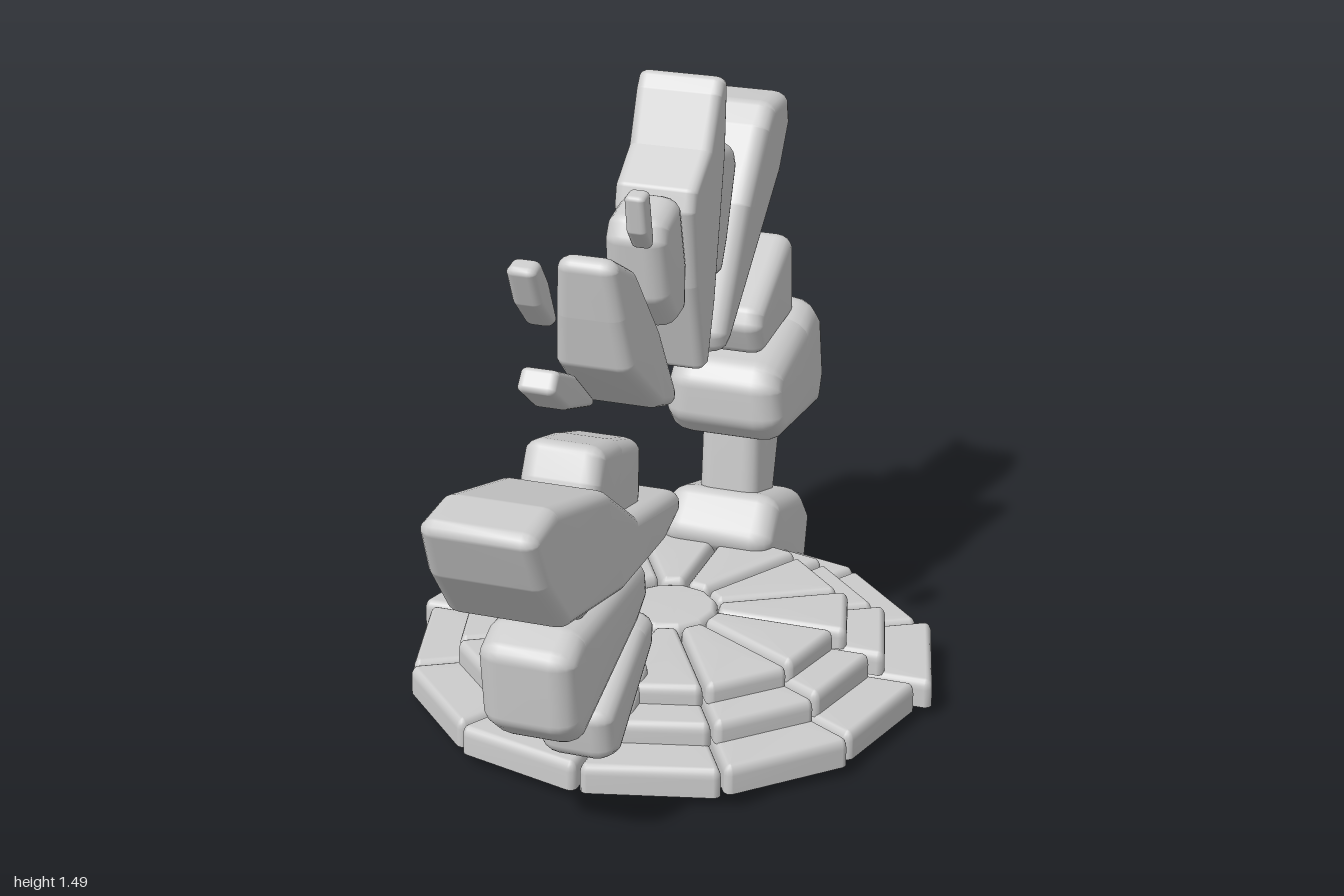
import * as THREE from 'three';

const material = new THREE.MeshStandardMaterial({ color: 0xcccccc });

// Rounded slab: a polygon in XY with softened corners, given depth along Z.
// lowW / highW are the half depths at the bottom and top of the outline.
function softSlab(outline, lowW, highW, r, bevel, flatBase = false) {
  const pts = outline.map((p) => new THREE.Vector2(p[0], p[1]));
  if (THREE.ShapeUtils.area(pts) < 0) pts.reverse();
  const n = pts.length, steps = 4;
  const ys = pts.map((p) => p.y);
  const y0 = Math.min(...ys), y1 = Math.max(...ys);
  const halfDepth = (y) => THREE.MathUtils.lerp(lowW, highW, THREE.MathUtils.clamp((y - y0) / (y1 - y0), 0, 1));

  // Corners moved inward by r, each with the outward directions of its arc
  const normals = pts.map((p, i) => {
    const d = pts[(i + 1) % n].clone().sub(p).normalize();
    return new THREE.Vector2(d.y, -d.x);
  });
  const rim = [];
  pts.forEach((p, i) => {
    const a = normals[(i + n - 1) % n], b = normals[i];
    const miter = a.clone().add(b).divideScalar(1 + a.dot(b));
    const inner = p.clone().addScaledVector(miter, -r);
    const convex = a.cross(b) > 0;
    for (let k = 0; k <= steps; k++) {
      const dir = convex ? a.clone().lerp(b, k / steps).normalize() : miter;
      rim.push({ inner, dir });
    }
  });

  // Loops from the back face to the front face
  const arc = [0, 0.25, 0.5, 0.75, 1].map((t) => t * Math.PI / 2);
  const layers = [
    ...(flatBase ? [{ s: -1, t: Math.PI / 2, flat: true }] : [...arc].reverse().map((t) => ({ s: -1, t }))),
    ...arc.map((t) => ({ s: 1, t })),
  ];
  const pos = [], index = [], m = rim.length;
  for (const { s, t, flat } of layers) {
    for (const { inner, dir } of rim) {
      const q = inner.clone().addScaledVector(dir, flat ? r : r * Math.cos(t));
      const w = halfDepth(q.y), b = Math.min(bevel, w * 0.9);
      pos.push(q.x, q.y, s * (w - b + b * Math.sin(t)));
    }
  }
  for (let j = 0; j < layers.length - 1; j++) {
    for (let i = 0; i < m; i++) {
      const k = (i + 1) % m, a = j * m + i, b = j * m + k;
      index.push(a, b, b + m, a, b + m, a + m);
    }
  }
  // Caps fan out from the middle of the outline
  const c = new THREE.Vector2();
  rim.forEach((q) => c.addScaledVector(q.inner, 1 / m));
  [[-1, 0], [1, (layers.length - 1) * m]].forEach(([s, start]) => {
    let first = start;
    if (s < 0 && flatBase) {
      // separate rim keeps the underside edge crisp
      first = pos.length / 3;
      pos.push(...pos.slice(0, m * 3));
    }
    const centre = pos.length / 3;
    pos.push(c.x, c.y, s * halfDepth(c.y));
    for (let i = 0; i < m; i++) {
      const a = first + i, b = first + (i + 1) % m;
      if (s > 0) index.push(centre, a, b);
      else index.push(centre, b, a);
    }
  });
  const g = new THREE.BufferGeometry();
  g.setAttribute('position', new THREE.Float32BufferAttribute(pos, 3));
  g.setIndex(index);
  g.computeVertexNormals();
  return g;
}

function addMesh(parent, name, geometry) {
  const mesh = new THREE.Mesh(geometry, material);
  mesh.name = name;
  parent.add(mesh);
  return mesh;
}

// Arch stone: outline as [-z, y], depth across x
function stone(parent, name, outline, lowW, highW, r = 0.035, x = 0) {
  const g = softSlab(outline, lowW, highW, r, r * 1.3);
  g.rotateY(Math.PI / 2).translate(x, 0, 0);
  return addMesh(parent, name, g);
}

// Round floor of wedge slabs in three steps
function createFloor() {
  const floor = new THREE.Group();
  floor.name = 'steppedFloor';
  const radii = [0.65, 0.62, 0.63, 0.63, 0.66, 0.65, 0.62, 0.63, 0.64, 0.64, 0.63, 0.615];
  const lifts = [0, 0, 0.005, 0.01, 0.02, 0.01, 0, 0.005, 0, 0, 0, 0.005];
  const tiers = [[1, 0.03, 0.1], [0.82, 0.095, 0.153], [0.675, 0.148, 0.2]];
  const lay = (name, outline, y0, y1) => {
    const h = (y1 - y0) / 2;
    const g = softSlab(outline, h, h, 0.016, 0.025, true);
    g.rotateX(-Math.PI / 2).translate(0, y0 + h, 0);
    addMesh(floor, name, g);
  };
  tiers.forEach(([scale, y0, y1], t) => {
    radii.forEach((radius, k) => {
      const a0 = k * Math.PI / 6, a1 = a0 + Math.PI / 6, R = radius * scale;
      const mid = (a0 + a1) / 2, gap = 0.004;
      // wedge pushed slightly outward to leave a joint on both sides
      const corner = (r, a, side) => [
        r * Math.cos(a) - side * gap * Math.sin(mid) * -1,
        r * Math.sin(a) - side * gap * Math.cos(mid),
      ];
      lay(`floorSlabTier${t + 1}`, [
        corner(0.12, a0, -1), corner(R, a0, -1), corner(R, a1, 1), corner(0.12, a1, 1),
      ], y0, y1 + (t ? lifts[k] : 0));
    });
  });
  const disc = radii.map((_, k) => [0.118 * Math.cos(k * Math.PI / 6), 0.118 * Math.sin(k * Math.PI / 6)]);
  lay('floorCentre', disc, 0.1, 0.2);
  floor.position.z = -0.18;
  return floor;
}

export function createModel() {
  const model = new THREE.Group();
  model.name = 'brokenStoneArch';
  model.add(createFloor());

  // Crown of the arch
  stone(model, 'keystone', [[.25, 1.495], [.282, 1.48], [.285, 1.3], [.245, .96], [.21, .815], [.165, .815],
    [.095, 1.04], [.055, 1.23], [.07, 1.28], [.165, 1.345], [.22, 1.46]], .085, .102, .018);
  stone(model, 'crownStoneFront', [[-.085, 1.2], [-.06, 1.25], [.06, 1.28], [.1, 1.1], [.09, .99], [0, .975],
    [-.065, 1.06]], .075, .07);
  stone(model, 'shoulderStoneFront', [[-.38, 1.24], [-.355, 1.265], [-.24, 1.2], [-.13, 1.03], [-.06, .86],
    [-.08, .825], [-.17, .855], [-.335, 1], [-.36, 1.12]], .105, .065, .025);
  stone(model, 'crownStoneBack', [[.28, 1.32], [.43, 1.285], [.455, 1.23], [.39, 1.06], [.345, .98], [.26, 1]],
    .075, .075);
  stone(model, 'shoulderStoneBack', [[.63, 1.325], [.755, 1.32], [.79, 1.24], [.74, 1.12], [.42, .79],
    [.36, .77], [.345, .83], [.47, 1.12], [.58, 1.28]], .07, .105, .03);

  // Floating shards
  const shards = [
    [[[-.56, 1.29], [-.51, 1.3], [-.465, 1.24], [-.415, 1.13], [-.45, 1.13], [-.52, 1.2]], .033, -.075, .014],
    [[[-.255, 1.365], [-.21, 1.372], [-.183, 1.25], [-.2, 1.23], [-.24, 1.28]], .023, .065, .01],
    [[[-.66, 1.07], [-.625, 1.11], [-.52, 1.06], [-.405, .96], [-.43, .953], [-.57, 1]], .042, -.005, .012],
    [[[.793, 1.16], [.85, 1.21], [.865, 1.17], [.81, 1.115]], .02, 0, .01],
    [[[.76, .985], [.85, 1.108], [.873, 1.07], [.82, 1.02]], .02, 0, .01],
    [[[.9, 1.017], [.987, 1.072], [.998, 1.032], [.935, 1.012]], .016, -.005, .008],
  ];
  shards.forEach(([outline, w, x, r]) => stone(model, 'floatingShard', outline, w, w, r, x));

  // Front leg
  stone(model, 'frontWedge', [[-1.005, .908], [-.865, .918], [-.57, .83], [-.41, .71], [-.14, .655], [-.135, .605],
    [-.25, .572], [-.52, .575], [-.84, .64], [-.945, .77]], .14, .125, .025);
  stone(model, 'frontUpperBlock', [[-.55, .83], [-.51, .9], [-.385, .865], [-.26, .82], [-.265, .7], [-.31, .54],
    [-.66, .545]], .09, .09, .03);
  stone(model, 'frontMiddleBlock', [[-.765, .52], [-.68, .555], [-.28, .55], [-.255, .45], [-.33, .4], [-.68, .28],
    [-.75, .34]], .105, .11, .04);
  stone(model, 'frontSpacer', [[-.435, .33], [-.4, .385], [-.312, .395], [-.312, .345], [-.41, .287]], .06, .06, .02);
  stone(model, 'frontFootBlock', [[-.485, .24], [-.25, .362], [-.165, .368], [-.17, .28], [-.39, .1], [-.465, .125]],
    .085, .09, .035);
  stone(model, 'frontFootChip', [[-.33, .14], [-.17, .245], [-.155, .19], [-.25, .11]], .07, .07, .02);

  // Back leg
  stone(model, 'backTopBlock', [[.585, .76], [.605, .805], [.855, .925], [.885, .89], [.885, .7], [.62, .68]],
    .09, .085, .03);
  stone(model, 'backMiddleBlock', [[.55, .62], [.59, .67], [.82, .71], [.915, .742], [.985, .67], [.985, .51],
    [.93, .435], [.6, .465], [.55, .52]], .155, .135, .05);
  stone(model, 'backPost', [[.63, .5], [.865, .5], [.78, .22], [.61, .28]], .075, .075, .03);
  stone(model, 'backFootBlock', [[.495, .225], [.6, .32], [.82, .25], [.89, .16], [.83, .005], [.77, .005],
    [.55, .16]], .15, .14, .04);
  return model;
}
